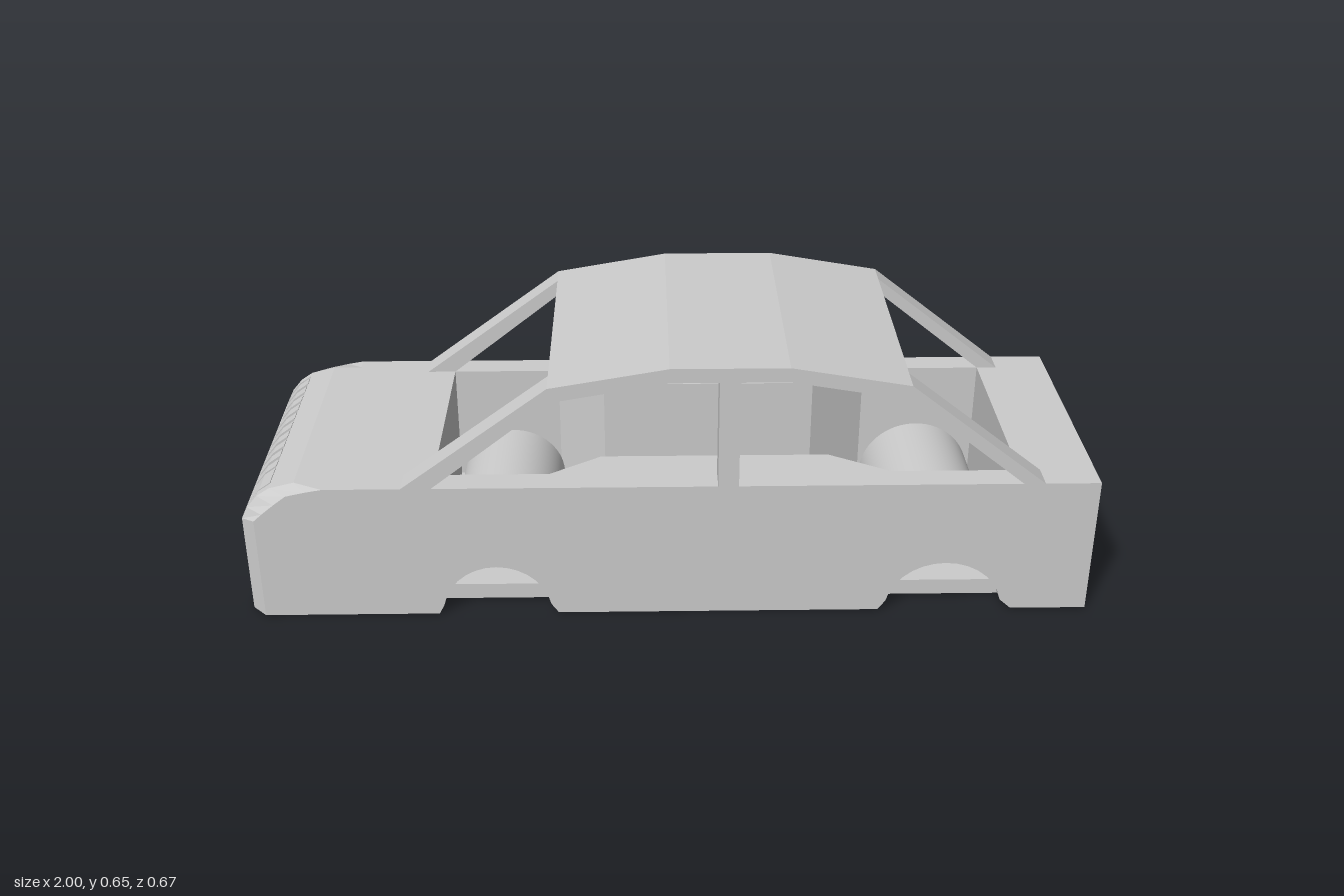
import * as THREE from 'three';

const material = new THREE.MeshStandardMaterial({ color: 0xcccccc, flatShading: true });
const smooth = new THREE.MeshStandardMaterial({ color: 0xcccccc });

const HALF = 0.337;   // half width of the body
const INNER = 0.272;  // inside face of the side walls
const BELT = 0.345;   // height of the hood, sills and trunk
const FLOOR = 0.04;

const points = (list) => list.map(([x, y]) => new THREE.Vector2(x, y));

export function createModel() {
  const model = new THREE.Group();

  function add(name, geometry, mat = material) {
    const mesh = new THREE.Mesh(geometry, mat);
    mesh.name = name;
    model.add(mesh);
    return mesh;
  }

  // Outline in x and y, extruded between two z values
  function slab(name, shape, z0, z1) {
    const geometry = new THREE.ExtrudeGeometry(shape, { depth: z1 - z0, bevelEnabled: false });
    return add(name, geometry.translate(0, 0, z0));
  }

  function block(name, x0, x1, y0, y1, halfWidth) {
    const geometry = new THREE.BoxGeometry(x1 - x0, y1 - y0, halfWidth * 2);
    return add(name, geometry.translate((x0 + x1) / 2, (y0 + y1) / 2, 0));
  }

  // Wheel arch opening: flared feet and a round crown
  function arch(cx, r, frontFoot, rearFoot) {
    const list = [[frontFoot, 0]];
    for (let i = 0; i <= 14; i++) {
      const a = Math.PI * (0.94 - 0.88 * i / 14);
      list.push([cx + r * Math.cos(a), 0.13 * Math.sin(a)]);
    }
    list.push([rearFoot, 0]);
    return list;
  }

  // Side walls with pillars, window openings and wheel arches
  const roofTop = [[0.545, 0.6], [0.27, 0.647], [0, 0.647], [-0.275, 0.6]];
  const roofUnder = [[-0.27, 0.565], [0, 0.612], [0.27, 0.612], [0.545, 0.565]];
  const side = new THREE.Shape(points([
    [-0.8, 0], ...arch(-0.41, 0.13, -0.55, -0.265), ...arch(0.655, 0.14, 0.5, 0.82),
    [1, 0], [1, BELT], [0.87, BELT], ...roofTop, [-0.62, BELT], [-0.8, BELT],
  ]));
  side.holes.push(
    new THREE.Path(points([[-0.55, BELT], [-0.27, 0.565], [0, 0.612], [0.112, 0.612], [0.112, BELT]])),
    new THREE.Path(points([[0.16, BELT], [0.16, 0.612], [0.27, 0.612], [0.545, 0.565], [0.82, BELT]])),
  );
  slab('leftWall', side, INNER, HALF);
  slab('rightWall', side, -HALF, -INNER);

  // Roof panel between the two frames
  slab('roof', new THREE.Shape(points([...roofTop, ...roofUnder])), -INNER, INNER);

  // Solid hood, trunk and cabin floor
  block('hood', -0.8, -0.55, 0, BELT, INNER);
  block('trunk', 0.82, 1, 0, BELT, INNER);
  block('floor', -0.55, 0.82, 0, FLOOR, INNER);

  // Round wheel tunnels across the cabin floor
  for (const [name, x, r] of [['frontWheelTunnel', -0.405, 0.135], ['rearWheelTunnel', 0.67, 0.145]]) {
    const tunnel = new THREE.CylinderGeometry(r, r, INNER * 2, 32, 1, true, -Math.PI / 2, Math.PI);
    tunnel.rotateX(-Math.PI / 2);
    add(name, tunnel.translate(x, FLOOR - 0.005, 0), smooth);
  }

  // Thicker cabin walls, tapering out to the wheel tunnels
  for (const s of [1, -1]) {
    const sill = new THREE.Shape(points(
      [[-0.28, INNER], [-0.16, 0.19], [0.38, 0.19], [0.52, INNER]].map(([x, z]) => [x, z * s])));
    const geometry = new THREE.ExtrudeGeometry(sill, { depth: BELT - FLOOR, bevelEnabled: false });
    geometry.rotateX(Math.PI / 2);
    add(s > 0 ? 'leftInnerWall' : 'rightInnerWall', geometry.translate(0, BELT, 0));
  }

  // Nose: closed x/y profiles joined across the width
  const middle = [[-1, 0], [-1, 0.25], [-0.985, 0.28], [-0.96, 0.31], [-0.93, 0.33], [-0.87, BELT], [-0.8, BELT], [-0.8, 0]];
  const edge = [[-0.965, 0], [-0.965, 0.262], [-0.945, 0.28], [-0.915, 0.305], [-0.885, 0.328], [-0.84, 0.338], [-0.8, BELT], [-0.8, 0]];
  const recess = middle.map((p) => [...p]);
  recess[2] = [-0.967, 0.262];
  recess[3] = [-0.945, 0.285];
  const stations = [
    [-HALF, edge], [-0.302, middle], [-0.28, middle], [-0.28, recess],
    [0.28, recess], [0.28, middle], [0.302, middle], [HALF, edge],
  ];
  const position = [];
  const index = [];
  const n = edge.length;
  stations.forEach(([z, profile], s) => {
    profile.forEach(([x, y]) => position.push(x, y, z));
    if (s === stations.length - 1) return;
    for (let i = 0; i < n; i++) {
      const a = s * n + i;
      const b = s * n + (i + 1) % n;
      index.push(a, a + n, b + n, a, b + n, b);
    }
  });
  const last = (stations.length - 1) * n;
  for (let i = 1; i < n - 1; i++) {
    index.push(0, i, i + 1, last, last + i + 1, last + i);
  }
  const nose = new THREE.BufferGeometry();
  nose.setAttribute('position', new THREE.Float32BufferAttribute(position, 3));
  nose.setIndex(index);
  const flatNose = nose.toNonIndexed();
  flatNose.computeVertexNormals();
  add('nose', flatNose);

  // Grille slats set in the nose recess
  const slat = new THREE.Shape(points([
    [-0.998, 0.25], [-0.96, 0.25], [-0.935, 0.3], [-0.932, 0.328], [-0.96, 0.308], [-0.984, 0.279],
  ]));
  for (let i = 0; i < 10; i++) {
    const z = -0.275 + i * 0.048;
    slab('grilleSlat', slat, z, z + 0.032);
  }
  // Plain panel beside the slats
  slab('grillePanel', slat, 0.2, 0.27);

  return model;
}
